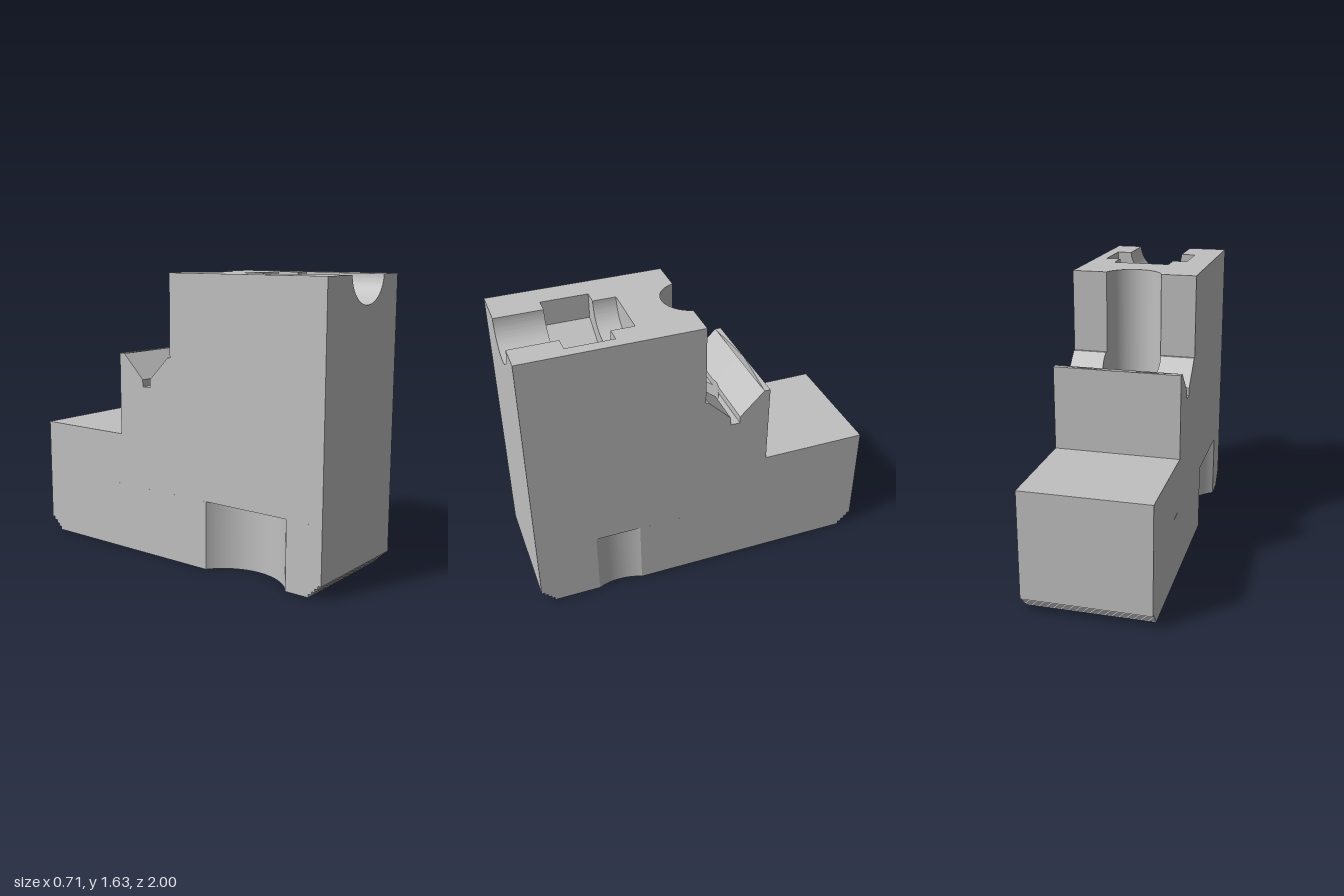
import * as THREE from 'three';
import { toCreasedNormals } from 'three/addons/utils/BufferGeometryUtils.js';

const HX = 0.357;              // half width of the block
const TOP = 1.63;
const BORE = { z: -0.045, r: 0.165 };
const WIDE = 0.318;            // radius of the wide recesses in the base
const NUT_X = 0.04;            // centre line of the top groove and nut pocket

export function createModel() {
  const group = new THREE.Group();
  const grey = new THREE.MeshStandardMaterial({ color: 0xc0c0c0 });
  grey.name = 'grey';

  const add = (name, geometry) => {
    const mesh = new THREE.Mesh(toCreasedNormals(geometry, 0.4), grey);
    mesh.name = name;
    group.add(mesh);
  };

  // Extrude a plan shape (x, -z) upwards from y0; top may be a number or a function of z
  const rise = (shape, y0, top) => {
    const g = new THREE.ExtrudeGeometry(shape, { depth: 1, bevelEnabled: false, curveSegments: 40 });
    g.rotateX(-Math.PI / 2);
    const p = g.attributes.position;
    for (let i = 0; i < p.count; i++) {
      const t = typeof top === 'function' ? top(p.getZ(i)) : top;
      p.setY(i, p.getY(i) > 0.5 ? t : y0);
    }
    return g;
  };

  // Slice of the block between z0 and z1, in two mirrored halves around the vertical bore
  const strip = (name, z0, z1, y0, top) => {
    const angle = (z) => Math.acos(THREE.MathUtils.clamp((z - BORE.z) / BORE.r, -1, 1));
    const a0 = angle(z0), a1 = angle(z1), n = 24;
    for (const s of [1, -1]) {
      const pts = [[HX, z0], [HX, z1]];
      if (z1 >= BORE.z + BORE.r) pts.push([0, z1]);
      if (a0 - a1 > 1e-6) {
        for (let i = 0; i <= n; i++) {
          const a = a1 + ((a0 - a1) * i) / n;
          pts.push([BORE.r * Math.sin(a), BORE.z + BORE.r * Math.cos(a)]);
        }
      }
      if (z0 <= BORE.z - BORE.r) pts.push([0, z0]);
      const shape = new THREE.Shape(pts.map(([x, z]) => new THREE.Vector2(s * x, -z)));
      add(name + (s > 0 ? 'Left' : 'Right'), rise(shape, y0, top));
    }
  };

  // Base plan with a wide round recess and a curved notch on each side
  const basePlan = (end) => {
    const s = new THREE.Shape();
    s.moveTo(-HX, -end);
    s.lineTo(HX, -end);
    s.absarc(0.647, -0.525, WIDE, Math.PI + 0.423, Math.PI - 0.423, true);
    s.lineTo(HX, end);
    s.lineTo(-HX, end);
    s.absarc(-0.533, -0.519, WIDE, 0.985, -0.985, true);
    s.closePath();
    const hole = new THREE.Path();
    hole.absarc(0, -BORE.z, WIDE, 0, Math.PI * 2, false);
    s.holes.push(hole);
    return s;
  };

  // Stepped bottom edges, then the straight part of the base
  const step = 0.075 / 4;
  for (let i = 0; i < 4; i++) {
    add('baseStep' + (i + 1), rise(basePlan(0.925 + i * step), i * step, (i + 1) * step));
  }
  add('base', rise(basePlan(1), 0.075, 0.39));

  // Body with the narrow bore
  strip('lowerBody', -1, 1, 0.39, 0.69);
  strip('middleBody', -0.38, 0.335, 0.69, 0.985);

  // V groove with a relief slot at its bottom
  strip('grooveLip', -0.38, -0.345, 0.985, 1.165);
  strip('grooveBackSlope', -0.345, -0.205, 0.985, (z) => 1.165 - (z + 0.345));
  strip('grooveFrontSlope', -0.15, -0.015, 0.985, (z) => 1.03 + (z + 0.15));
  strip('grooveLedge', -0.015, 0, 0.985, 1.165);
  strip('towerBack', 0, 0.335, 0.985, TOP);

  // Front of the tower: cross-sections with a cut in the top, extruded along z
  const towerSection = (name, z0, z1, cut) => {
    const s = new THREE.Shape();
    s.moveTo(-HX, 0.69);
    s.lineTo(HX, 0.69);
    s.lineTo(HX, TOP);
    cut(s);
    s.lineTo(-HX, TOP);
    s.closePath();
    const g = new THREE.ExtrudeGeometry(s, { depth: z1 - z0, bevelEnabled: false, curveSegments: 32 });
    add(name, g.translate(0, 0, z0));
  };
  const roundCut = (s) => {
    const a = Math.asin(0.01 / 0.165);
    s.absarc(NUT_X, TOP + 0.01, 0.165, -a, -Math.PI + a, true);
  };
  const hexCut = (s) => {
    for (const [x, d] of [[0.25, 0], [0.25, 0.144], [0, 0.289], [-0.25, 0.144], [-0.25, 0]]) {
      s.lineTo(NUT_X + x, TOP - d);
    }
  };
  towerSection('boltGrooveInner', 0.335, 0.465, roundCut);
  towerSection('nutPocket', 0.465, 0.73, hexCut);
  towerSection('boltGrooveOuter', 0.73, 1, roundCut);

  return group;
}
